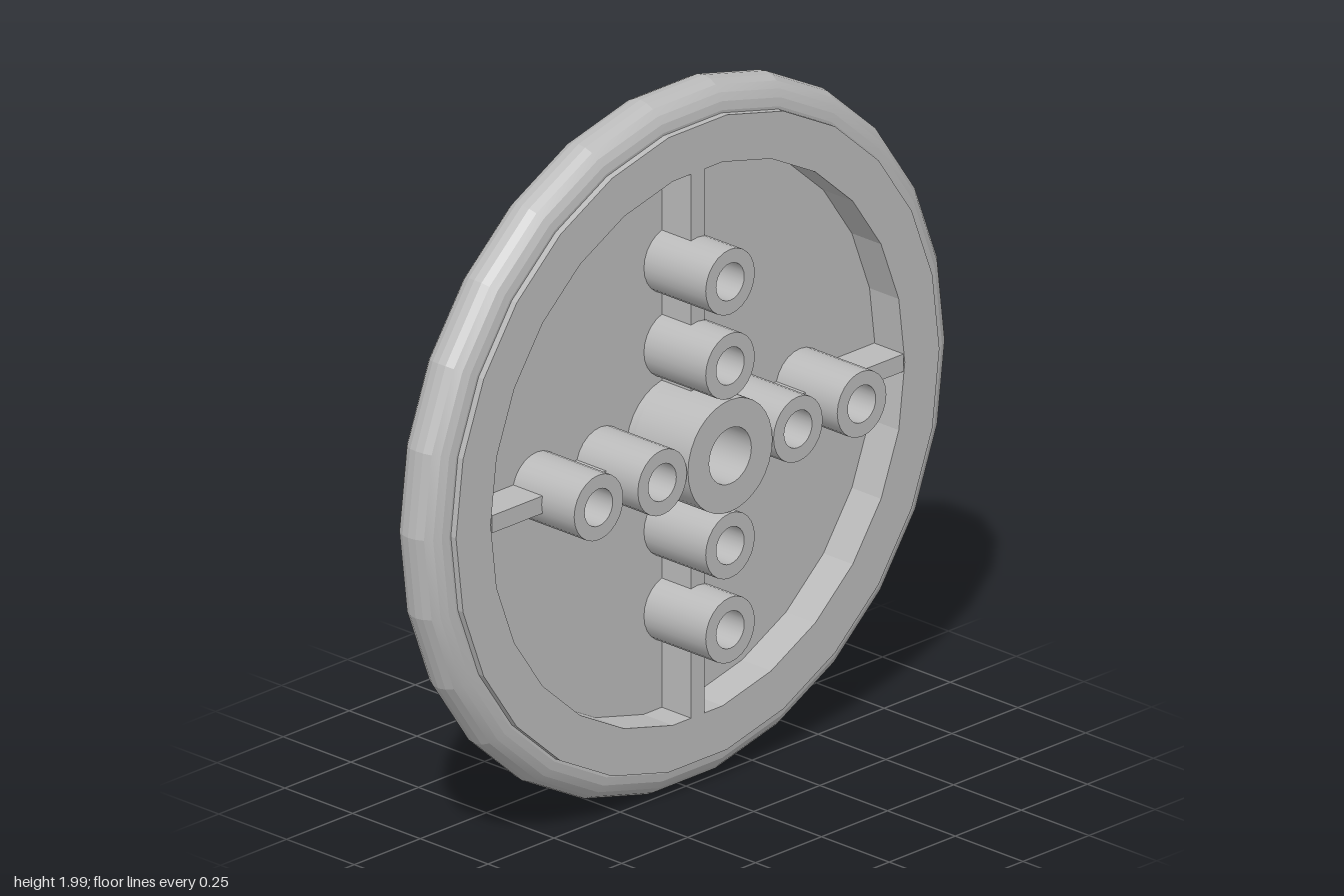
import * as THREE from 'three';
import { toCreasedNormals } from 'three/addons/utils/BufferGeometryUtils.js';

const SIDES = 26;            // facets of the large circles
const CENTRE_Y = 0.993;
const BACK = -0.147, FLOOR = -0.065, RIM_FRONT = 0.043, STUD_FRONT = 0.163;
const STUD_R = 0.093, BORE_R = 0.053, HUB_R = 0.16, AXLE_R = 0.08, POCKET_R = 0.15;
const STUD_RADII = [0.257, 0.498];

const grey = new THREE.MeshStandardMaterial({ color: 0xbababa });
grey.name = 'grey plastic';
const greyFlat = grey;

// Points of a regular polygon, first corner on +x
function ring(r, n, cx = 0, cy = 0) {
  return Array.from({ length: n }, (_, i) => {
    const a = (i / n) * Math.PI * 2;
    return new THREE.Vector2(cx + r * Math.cos(a), cy + r * Math.sin(a));
  });
}

// Extrude an outline with holes between two depths
function slab(outline, holes, z0, z1, crease) {
  const shape = new THREE.Shape(outline);
  holes.forEach((h) => shape.holes.push(new THREE.Path(h)));
  const geo = new THREE.ExtrudeGeometry(shape, { depth: z1 - z0, bevelEnabled: false });
  geo.translate(0, 0, z0);
  return toCreasedNormals(geo, crease);
}

export function createModel() {
  const model = new THREE.Group();
  model.name = 'wheel';
  const body = new THREE.Group();
  body.name = 'wheelBody';
  body.position.y = CENTRE_Y;
  model.add(body);

  const add = (name, geo) => {
    const mesh = new THREE.Mesh(geo, greyFlat);
    mesh.name = name;
    body.add(mesh);
    return mesh;
  };

  // Faceted tyre
  const tyre = new THREE.TorusGeometry(0.923, 0.077, 20, SIDES).toNonIndexed();
  tyre.translate(0, 0, -0.052);
  add('tyre', toCreasedNormals(tyre, 0.2));

  // Stud centres along the four arms
  const studs = [];
  for (let arm = 0; arm < 4; arm++) {
    const a = (arm * Math.PI) / 2;
    STUD_RADII.forEach((r) => studs.push([r * Math.cos(a), r * Math.sin(a)]));
  }

  // Back plate, drilled for the studs and the axle pocket
  const bores = studs.map(([x, y]) => ring(BORE_R, 24, x, y));
  add('backPlate', slab(ring(0.915, SIDES), [...bores, ring(POCKET_R, 32)], BACK, FLOOR, 0.3));

  // Raised front rim
  add('frontRim', slab(ring(0.915, SIDES), [ring(0.784, SIDES)], FLOOR, RIM_FRONT, 0.2));

  // Hollow studs
  studs.forEach(([x, y]) =>
    add('stud', slab(ring(STUD_R, 24, x, y), [ring(BORE_R, 24, x, y)], FLOOR, STUD_FRONT, 0.5)));

  // Hub with its axle bore and wider pocket behind
  add('hub', slab(ring(HUB_R, 32), [ring(AXLE_R, 32)], -0.04, STUD_FRONT, 0.5));
  add('hubPocket', slab(ring(HUB_R, 32), [ring(POCKET_R, 32)], FLOOR, -0.04, 0.5));

  // Two segment ledges leave a slot across the pocket
  for (const side of [0, Math.PI]) {
    const start = Math.asin(0.08 / POCKET_R);
    const arc = Array.from({ length: 13 }, (_, i) => {
      const a = side + start + (i / 12) * (Math.PI - 2 * start);
      return new THREE.Vector2(POCKET_R * Math.cos(a), POCKET_R * Math.sin(a));
    });
    add('pocketLedge', slab(arc, [], -0.135, -0.04, 0.3));
  }

  // Ribs between hub, studs and rim
  const spans = [[0.156, 0.168], [0.345, 0.41], [0.586, 0.779]];
  for (let arm = 0; arm < 4; arm++) {
    for (const [r0, r1] of spans) {
      const geo = new THREE.BoxGeometry(r1 - r0, 0.05, RIM_FRONT - FLOOR);
      geo.translate((r0 + r1) / 2, 0, (RIM_FRONT + FLOOR) / 2);
      geo.rotateZ((arm * Math.PI) / 2);
      add('rib', geo);
    }
  }

  // Thin raised lips on the back
  for (const [name, r, tube, n] of [['backLip', 0.675, 0.016, SIDES], ['pocketLip', 0.158, 0.01, 32]]) {
    const geo = new THREE.TorusGeometry(r, tube, 8, n);
    geo.translate(0, 0, BACK);
    add(name, geo);
  }

  return model;
}
